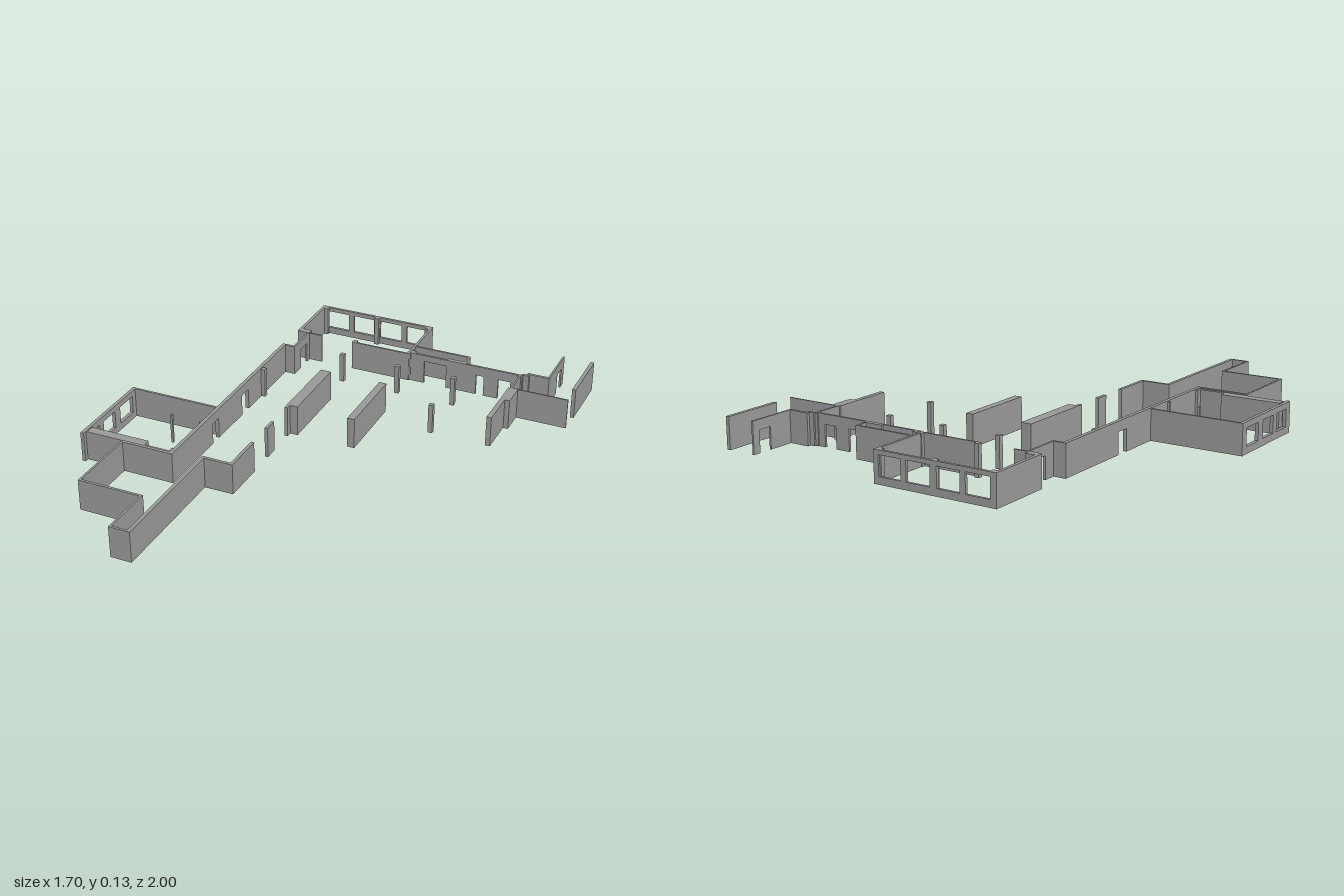
import * as THREE from 'three';

const FULL = 0.134;
const LOW = 0.13;
const material = new THREE.MeshStandardMaterial({ color: 0x989898, flatShading: true });

// Wall elevation from u0 to u1; openings are [start, end, sill, head], a sill of 0 makes a doorway
function elevation(u0, u1, height, openings) {
  const s = new THREE.Shape();
  s.moveTo(u0, 0);
  for (const [a, b, sill, head] of openings) {
    if (sill > 0) {
      const h = new THREE.Path();
      h.moveTo(a, sill);
      h.lineTo(a, head);
      h.lineTo(b, head);
      h.lineTo(b, sill);
      h.closePath();
      s.holes.push(h);
    } else {
      s.lineTo(a, 0);
      s.lineTo(a, head);
      s.lineTo(b, head);
      s.lineTo(b, 0);
    }
  }
  s.lineTo(u1, 0);
  s.lineTo(u1, height);
  s.lineTo(u0, height);
  s.closePath();
  return s;
}

// Wall filling a plan rectangle, with openings along its longer side
function wall(height, x0, x1, z0, z1, openings = []) {
  const alongX = x1 - x0 >= z1 - z0;
  const shape = alongX ? elevation(x0, x1, height, openings) : elevation(z0, z1, height, openings);
  const depth = alongX ? z1 - z0 : x1 - x0;
  const geo = new THREE.ExtrudeGeometry(shape, { depth, bevelEnabled: false });
  if (alongX) geo.translate(0, 0, z0);
  else geo.rotateY(-Math.PI / 2).translate(x1, 0, 0);
  return new THREE.Mesh(geo, material);
}

export function createModel() {
  const model = new THREE.Group();
  model.name = 'floorPlanWalls';

  const section = (name, height, walls) => {
    const g = new THREE.Group();
    g.name = name;
    for (const w of walls) {
      const m = wall(height, ...w);
      m.name = name + 'Wall';
      g.add(m);
    }
    model.add(g);
  };
  const post = (x, z, size = 0.02) => {
    const m = new THREE.Mesh(new THREE.BoxGeometry(size, LOW, size), material);
    m.position.set(x, LOW / 2, z);
    m.name = 'post';
    model.add(m);
  };

  // Back hall with a row of four windows
  const hallWindows = [[-0.42, -0.315], [-0.29, -0.19], [-0.16, -0.055], [-0.03, 0.07]]
    .map(([a, b]) => [a, b, 0.03, 0.112]);
  section('backHall', LOW, [
    [-0.447, 0.092, -1, -0.988, hallWindows],
    [-0.447, -0.433, -0.988, -0.72],
    [0.081, 0.092, -0.988, -0.73],
    [-0.433, -0.39, -0.745, -0.715],
    [-0.39, -0.327, -0.723, -0.715],
    [-0.18, 0.09, -0.723, -0.715],
  ]);

  // Recessed side entrance and the long side wall
  section('sideEntrance', FULL, [
    [-0.397, -0.388, -0.715, -0.56, [[-0.69, -0.625, 0, 0.092]]],
    [-0.45, -0.397, -0.57, -0.56],
  ]);
  section('longSide', FULL, [
    [-0.449, -0.433, -0.56, 0.445, [[-0.2, -0.14, 0, 0.092], [0.07, 0.122, 0, 0.092]]],
  ]);

  // Side annex with three windows
  const annexWindows = [[0.08, 0.18], [0.22, 0.31], [0.34, 0.425]].map(([a, b]) => [a, b, 0.03, 0.105]);
  section('annex', LOW, [
    [-0.85, -0.449, 0.045, 0.055],
    [-0.85, -0.835, 0.055, 0.46, annexWindows],
    [-0.835, -0.449, 0.433, 0.443],
    [-0.83, -0.57, 0.403, 0.433],
    [-0.46, -0.449, 0.41, 0.433],
  ]);

  // Front room and the narrow passage ahead of it
  section('frontRoom', FULL, [
    [-0.665, -0.433, 0.445, 0.459],
    [-0.665, -0.656, 0.459, 0.77],
    [-0.665, -0.386, 0.763, 0.774],
    [-0.395, -0.386, 0.774, 1],
    [-0.386, -0.305, 0.99, 1],
    [-0.32, -0.305, 0.42, 0.99],
    [-0.305, -0.181, 0.42, 0.433],
    [-0.195, -0.181, 0.245, 0.42],
    [-0.195, -0.181, 0.065, 0.125],
  ]);

  // Thick free-standing blocks in the middle
  section('centreBlock', FULL, [
    [-0.195, -0.148, -0.417, -0.083],
    [-0.195, -0.181, -0.083, -0.058],
    [0.075, 0.107, -0.419, -0.085],
  ]);

  // Back right wing: doors, store room and entrance
  section('backWing', FULL, [
    [0.092, 0.6, -0.731, -0.721, [[0.16, 0.262, 0, 0.105], [0.4, 0.435, 0, 0.092], [0.5, 0.555, 0, 0.092]]],
    [0.092, 0.347, -0.794, -0.785],
    [0.338, 0.347, -0.785, -0.731],
    [0.092, 0.112, -0.747, -0.731],
    [0.265, 0.338, -0.741, -0.731],
  ]);
  section('entrance', FULL, [
    [0.593, 0.601, -0.721, -0.6, [[-0.69, -0.625, 0, 0.092]]],
    [0.585, 0.606, -0.6, -0.33],
    [0.606, 0.627, -0.6, -0.495],
    [0.601, 0.845, -0.606, -0.6],
    [0.601, 0.632, -0.742, -0.73],
    [0.62, 0.717, -0.758, -0.746],
    [0.709, 0.717, -0.965, -0.758, [[-0.93, -0.87, 0, 0.092]]],
    [0.833, 0.849, -0.965, -0.697],
  ]);

  // Posts standing free or against the walls
  for (const x of [-0.172, 0.086, 0.342]) post(x, -0.595);
  for (const x of [-0.425, -0.172, 0.073]) post(x, -0.982);
  post(-0.172, -0.728);
  post(0.087, -0.728);
  post(0.597, -0.725);
  post(0.342, -0.34);
  post(-0.425, -0.33);
  post(-0.59, 0.18, 0.01);
  post(-0.455, 0.18, 0.01);
  return model;
}
